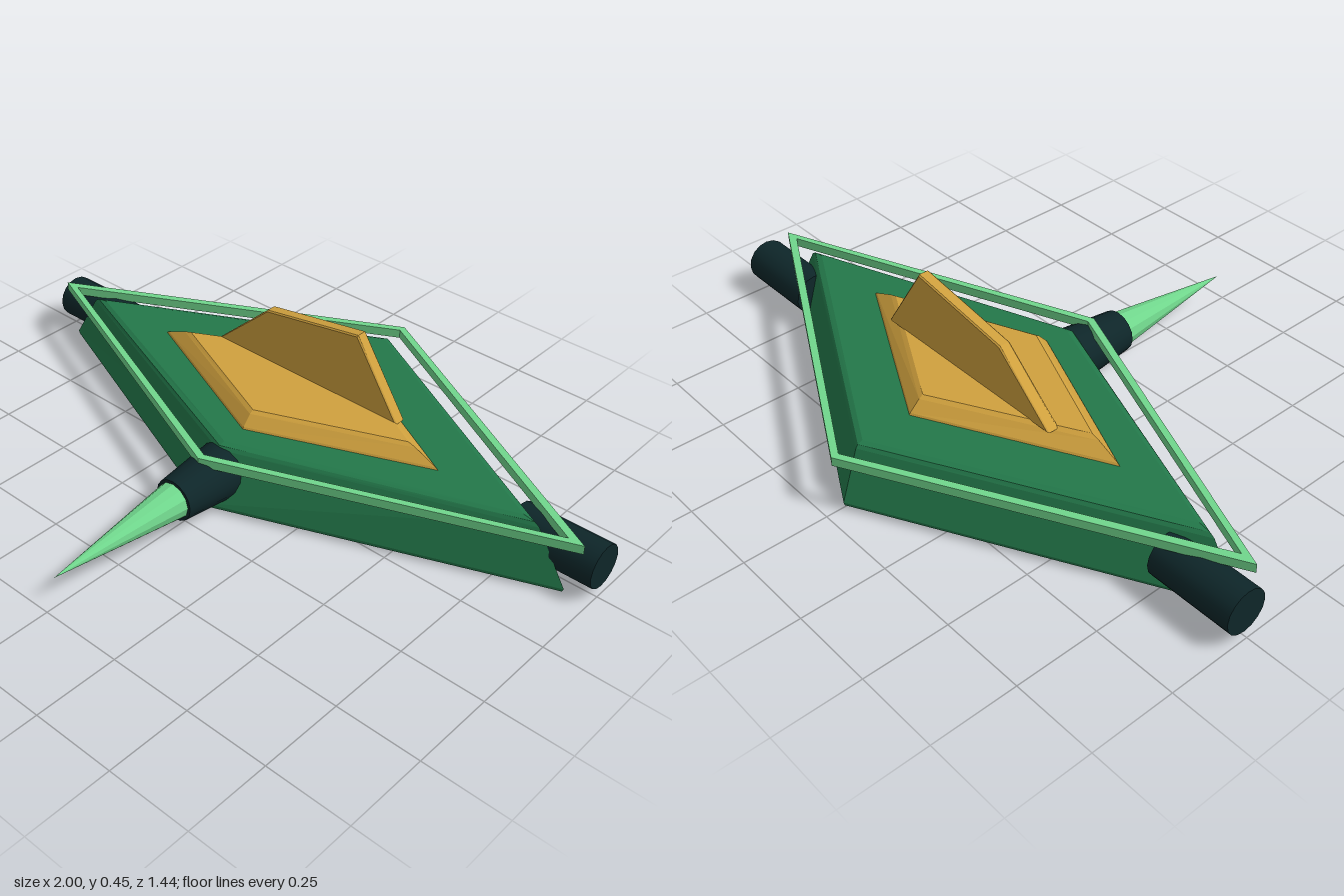
import * as THREE from 'three';

const SIDE_Z = -0.2; // depth of the left and right corners of every diamond

function material(name, color) {
  const m = new THREE.MeshStandardMaterial({ color });
  m.name = name;
  return m;
}

// Solid diamond built from levels of [y, halfWidth, frontZ, backZ]
function diamondStack(levels) {
  const rings = levels.map(([y, w, f, b]) => [[w, y, SIDE_Z], [0, y, f], [-w, y, SIDE_Z], [0, y, b]]);
  const pos = [];
  const quad = (a, b, c, d) => pos.push(...a, ...b, ...c, ...a, ...c, ...d);
  for (let l = 0; l < rings.length - 1; l++) {
    const lo = rings[l], hi = rings[l + 1];
    for (let i = 0; i < 4; i++) {
      const j = (i + 1) % 4;
      quad(lo[j], lo[i], hi[i], hi[j]);
    }
  }
  const bottom = rings[0], top = rings[rings.length - 1];
  quad(bottom[0], bottom[1], bottom[2], bottom[3]);
  quad(top[0], top[3], top[2], top[1]);
  const g = new THREE.BufferGeometry();
  g.setAttribute('position', new THREE.Float32BufferAttribute(pos, 3));
  g.computeVertexNormals();
  return g;
}

// Diamond outline in plan; shape y becomes -z after laying flat
function diamondPath(w, f, b, Type) {
  const pts = [[w, SIDE_Z], [0, b], [-w, SIDE_Z], [0, f]];
  return new Type(pts.map(([x, z]) => new THREE.Vector2(x, -z)));
}

export function createModel() {
  const model = new THREE.Group();
  model.name = 'diamondCraft';
  const hullGreen = material('hullGreen', 0x23784a);
  const lightGreen = material('lightGreen', 0x70d68c);
  lightGreen.flatShading = true;
  const gold = material('gold', 0xd0a13e);
  const dark = material('darkTeal', 0x0e2629);

  const add = (name, geometry, mat) => {
    const mesh = new THREE.Mesh(geometry, mat);
    mesh.name = name;
    model.add(mesh);
    return mesh;
  };

  // Hull tapering upward, with chamfered edges
  add('hull', diamondStack([
    [0, 0.9, 0.16, -0.682],
    [0.006, 0.925, 0.172, -0.693],
    [0.016, 0.93, 0.173, -0.695],
    [0.17, 0.835, 0.115, -0.642],
    [0.18, 0.82, 0.108, -0.635],
    [0.186, 0.785, 0.09, -0.62],
  ]), hullGreen);

  // Thin rim floating around the top of the hull
  const rimShape = diamondPath(0.968, 0.193, -0.718, THREE.Shape);
  rimShape.holes.push(diamondPath(0.92, 0.17, -0.695, THREE.Path));
  const rim = new THREE.ExtrudeGeometry(rimShape, { depth: 0.027, bevelEnabled: false });
  rim.rotateX(-Math.PI / 2).translate(0, 0.156, 0);
  add('rim', rim, lightGreen);

  // Deck plate with sloped sides
  add('deckPlate', diamondStack([
    [0.18, 0.52, 0.018, -0.472],
    [0.192, 0.505, 0.012, -0.466],
    [0.222, 0.435, -0.015, -0.435],
    [0.23, 0.41, -0.027, -0.422],
  ]), gold);

  // Upright fin
  const finShape = new THREE.Shape([
    [-0.333, 0.225], [0.333, 0.225], [0.185, 0.45], [-0.145, 0.395],
  ].map(([x, y]) => new THREE.Vector2(x, y)));
  const fin = new THREE.ExtrudeGeometry(finShape, {
    depth: 0.028, bevelThickness: 0.004, bevelSize: 0.004, bevelOffset: -0.004, bevelSegments: 1,
  });
  fin.translate(0, 0, -0.276);
  add('fin', fin, gold);

  // Side thrusters
  for (const [name, s] of [['leftThruster', 1], ['rightThruster', -1]]) {
    const tube = new THREE.CylinderGeometry(0.065, 0.065, 0.26, 16);
    tube.rotateZ(Math.PI / 2).translate(s * 0.87, 0.095, -0.262);
    add(name, tube, dark);
  }

  // Tapered nose collar and pointed spike
  const collar = new THREE.CylinderGeometry(0.063, 0.088, 0.24, 16);
  collar.rotateX(Math.PI / 2).translate(0, 0.095, 0.17);
  add('noseCollar', collar, dark);
  const spike = new THREE.ConeGeometry(0.057, 0.45, 12);
  spike.rotateX(Math.PI / 2).translate(0, 0.095, 0.493);
  add('noseSpike', spike, lightGreen);

  return model;
}
